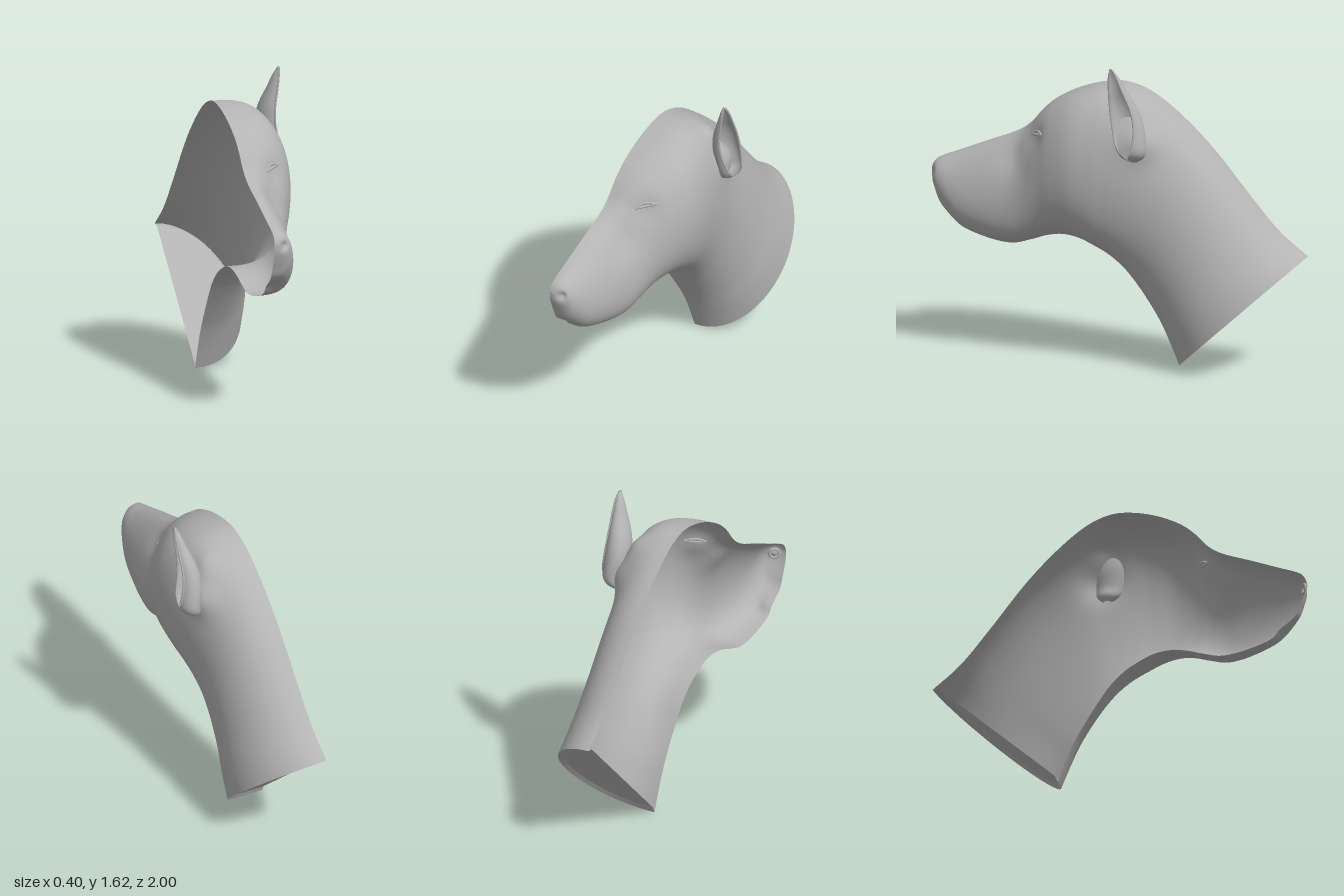
import * as THREE from 'three';

const coat = new THREE.MeshStandardMaterial({ color: 0xb4b4b4, side: THREE.DoubleSide });
coat.name = 'grey';
const MID = -0.2; // plane where the half head is cut open

// Cross-sections from nose to neck:
// top z, top y, bottom z, bottom y, half width, sag, roundness
const stations = [
  [1.0, 0.925, 1.0, 0.915, 0.002, 1, 0.8],
  [0.998, 0.945, 0.99, 0.875, 0.045, 1, 0.8],
  [0.98, 0.978, 0.965, 0.81, 0.085, 1, 0.8],
  [0.94, 1.003, 0.93, 0.74, 0.115, 1.1, 0.75],
  [0.86, 1.035, 0.83, 0.65, 0.15, 1.4, 0.68],
  [0.7, 1.1, 0.68, 0.6, 0.185, 1.6, 0.64],
  [0.55, 1.16, 0.55, 0.585, 0.213, 1.6, 0.62],
  [0.47, 1.215, 0.45, 0.61, 0.237, 1.4, 0.64],
  [0.4, 1.295, 0.36, 0.64, 0.27, 1.2, 0.66],
  [0.32, 1.36, 0.27, 0.655, 0.31, 1.08, 0.65],
  [0.2, 1.42, 0.18, 0.645, 0.342, 0.97, 0.62],
  [0.07, 1.457, 0.09, 0.607, 0.345, 0.95, 0.6],
  [-0.05, 1.462, 0.02, 0.565, 0.335, 0.95, 0.62],
  [-0.18, 1.415, -0.05, 0.5, 0.32, 0.97, 0.69],
  [-0.33, 1.305, -0.11, 0.42, 0.305, 1, 0.78],
  [-0.5, 1.14, -0.17, 0.33, 0.302, 1.02, 0.84],
  [-0.7, 0.9, -0.23, 0.23, 0.31, 1.05, 0.9],
  [-0.85, 0.73, -0.28, 0.125, 0.325, 1.08, 0.94],
  [-1.0, 0.61, -0.33, 0.0, 0.333, 1.1, 0.97],
];
const LAST = stations.length - 1;

const curveOf = (rows, pick) => new THREE.CatmullRomCurve3(
  rows.map((r) => new THREE.Vector3(...pick(r))), false, 'catmullrom', 0.5);
const topLine = curveOf(stations, (r) => [MID, r[1], r[0]]);
const bottomLine = curveOf(stations, (r) => [MID, r[3], r[2]]);
const shape = curveOf(stations, (r) => [r[4], r[5], r[6]]);

// Local swells and hollows: centre, radius, push
const pushes = [
  [-0.145, 0.925, 0.975, 0.022, 0, 0, -0.03],   // nostril
  [0.0, 1.17, 0.42, 0.07, -0.012, 0, -0.014],   // eye socket
  [-0.04, 1.06, 0.52, 0.09, -0.02, 0, 0],       // below the eye
  [-0.18, 0.69, 0.88, 0.05, 0, 0, -0.03],       // hollow under the lip
  [0.1, 1.24, -0.2, 0.1, 0.045, 0, -0.015],     // root of the ear
  [0.04, 1.39, -0.16, 0.07, 0.025, 0.025, 0],   // crown side of the ear
];

// Point on the skin: station s along the head, angle a from crown to throat
function skin(s, a) {
  const t = Math.min(s / LAST, 1);
  const { x: width, y: sag, z: round } = shape.getPoint(t);
  const drop = Math.pow((1 - Math.cos(a)) / 2, 1 / sag);
  const p = topLine.getPoint(t).lerp(bottomLine.getPoint(t), drop);
  p.x += Math.max(width, 0) * Math.pow(Math.max(Math.sin(a), 0), round);
  const base = p.clone();
  for (const [x, y, z, r, dx, dy, dz] of pushes) {
    const d2 = (base.x - x) ** 2 + (base.y - y) ** 2 + (base.z - z) ** 2;
    const f = Math.exp(-d2 / (r * r));
    p.x += dx * f;
    p.y += dy * f;
    p.z += dz * f;
  }
  p.x = Math.max(p.x, MID);
  return p;
}

// Smooth sheet from a function of two 0..1 parameters
function sheet(rows, cols, fn) {
  const pos = [], index = [];
  for (let i = 0; i <= rows; i++) {
    for (let j = 0; j <= cols; j++) {
      pos.push(...fn(i / rows, j / cols).toArray());
      if (i < rows && j < cols) {
        const a = i * (cols + 1) + j, c = a + cols + 1;
        index.push(a, a + 1, c, a + 1, c + 1, c);
      }
    }
  }
  const g = new THREE.BufferGeometry();
  g.setAttribute('position', new THREE.Float32BufferAttribute(pos, 3));
  g.setIndex(index);
  g.computeVertexNormals();
  return g;
}

function add(group, name, geometry) {
  const mesh = new THREE.Mesh(geometry, coat);
  mesh.name = name;
  group.add(mesh);
  return mesh;
}

// Upright ear: y, centre x, centre z, radius x, radius z, half opening in degrees
const earRows = [
  [1.12, 0.1, -0.16, 0.012, 0.02, 3],
  [1.15, 0.12, -0.16, 0.05, 0.06, 8],
  [1.2, 0.135, -0.155, 0.06, 0.078, 34],
  [1.3, 0.125, -0.14, 0.065, 0.082, 52],
  [1.4, 0.128, -0.118, 0.056, 0.073, 60],
  [1.5, 0.145, -0.09, 0.036, 0.047, 62],
  [1.57, 0.155, -0.072, 0.02, 0.027, 62],
  [1.615, 0.16, -0.06, 0.003, 0.004, 62],
];
const earCentre = curveOf(earRows, (r) => [r[1], r[0], r[2]]);
const earSize = curveOf(earRows, (r) => [r[3], r[5], r[4]]);
function earPoint(t, v) {
  const p = earCentre.getPoint(t), size = earSize.getPoint(t);
  const a = THREE.MathUtils.degToRad(20 + size.y + v * (360 - 2 * size.y));
  p.x += size.x * Math.cos(a);
  p.z += size.z * Math.sin(a);
  return p;
}

export function createModel() {
  const head = new THREE.Group();
  head.name = 'halfDogHead';

  add(head, 'headAndNeck', sheet(126, 44, (u, v) => skin(u * LAST, v * Math.PI)));

  // Cut end of the neck: a narrow turned-in rim around a flat plate
  const neckCentre = new THREE.Vector3(MID, 0.305, -0.665);
  const inner = (u) => skin(LAST - 0.12, u * Math.PI).lerp(neckCentre, 0.06);
  add(head, 'neckRim', sheet(32, 1, (u, v) => (v ? inner(u) : skin(LAST, u * Math.PI))));
  add(head, 'neckPlate', sheet(32, 1, (u, v) => {
    const p = inner(u);
    if (v === 0) p.x = MID;
    return p;
  }));

  // Ear shell and its rolled rim
  add(head, 'ear', sheet(32, 28, earPoint));
  const rim = [];
  for (let i = 6; i <= 20; i++) rim.push(earPoint(i / 20, 0));
  for (let i = 19; i >= 6; i--) rim.push(earPoint(i / 20, 1));
  add(head, 'earRim', new THREE.TubeGeometry(new THREE.CatmullRomCurve3(rim), 70, 0.006, 6));

  // Nearly closed eye
  const eye = new THREE.Group();
  eye.name = 'eye';
  head.add(eye);
  for (const [name, bow] of [['upperLid', -0.04], ['lowerLid', 0.03]]) {
    const pts = [];
    for (let i = 0; i <= 6; i++) {
      const t = i / 6;
      pts.push(skin(7.45 + 1.0 * t, 0.46 + 0.32 * t + bow * Math.sin(Math.PI * t)));
    }
    add(eye, name, new THREE.TubeGeometry(new THREE.CatmullRomCurve3(pts), 20, 0.007, 8));
  }

  // Nostril rim
  const nostril = add(head, 'nostrilRim', new THREE.TorusGeometry(0.024, 0.007, 8, 20));
  nostril.position.set(-0.148, 0.925, 0.972);
  nostril.rotation.y = 0.6;

  return head;
}
